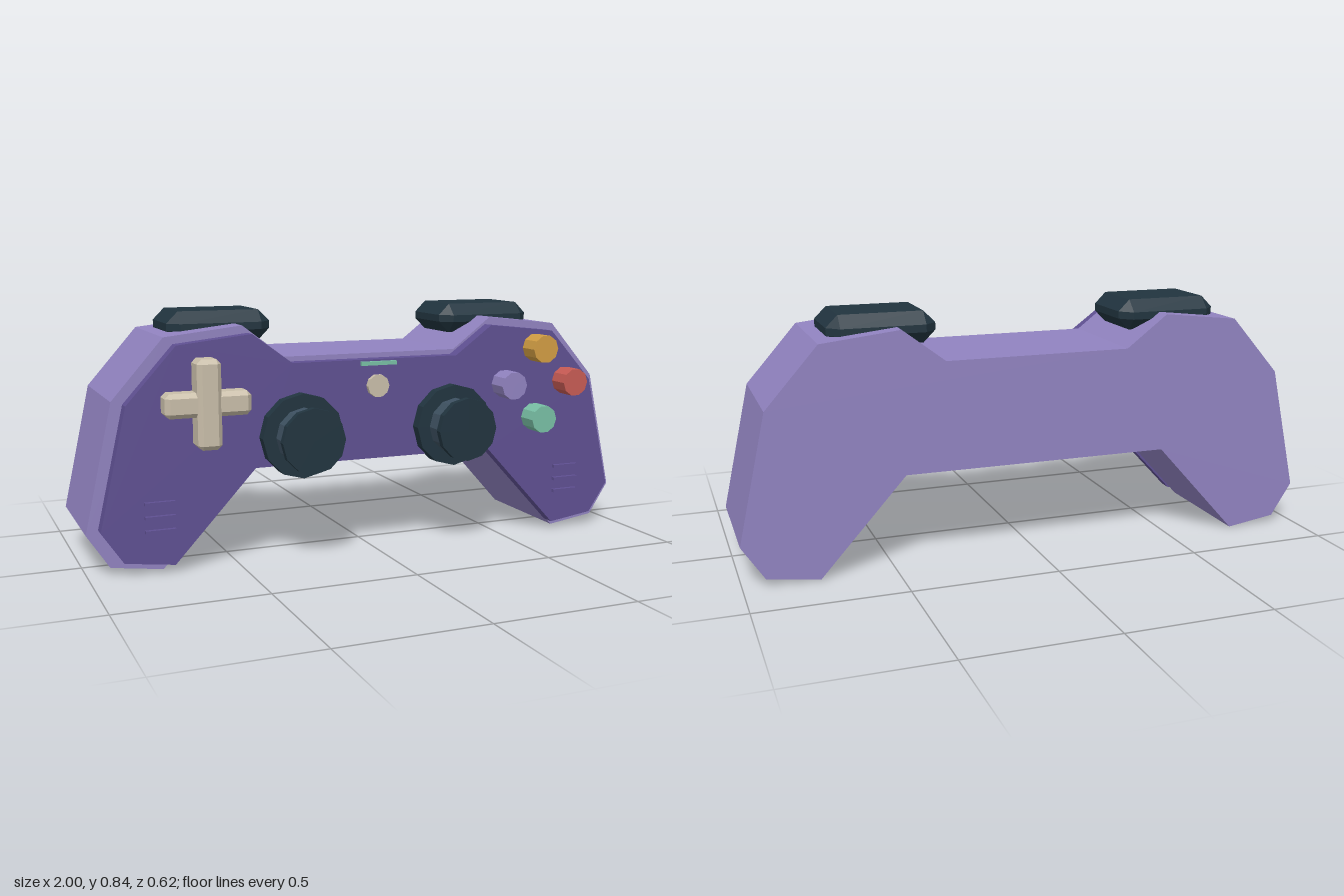
import * as THREE from 'three';
import { ConvexGeometry } from 'three/addons/geometries/ConvexGeometry.js';

const paint = (name, color) => {
  const m = new THREE.MeshStandardMaterial({ color, flatShading: true });
  m.name = name;
  return m;
};

export function createModel() {
  const lilac = paint('lilac', 0x9183c0);
  const violet = paint('violet', 0x5f5092);
  const charcoal = paint('charcoal', 0x21343f);
  const slate = paint('slate', 0x3d5060);
  const beige = paint('beige', 0xc9bea9);
  const amber = paint('amber', 0xd19d43);
  const red = paint('red', 0xc75b54);
  const mint = paint('mint', 0x78bfa5);

  const model = new THREE.Group();
  model.name = 'gamepad';

  const add = (name, geometry, material, x = 0, y = 0, z = 0, parent = model) => {
    const mesh = new THREE.Mesh(geometry, material);
    mesh.name = name;
    mesh.position.set(x, y, z);
    parent.add(mesh);
    return mesh;
  };

  // Mirrored outline, extruded from z0 to z1
  const slab = (half, z0, z1) => {
    const all = [...half, ...half.slice().reverse().map(([x, y]) => [-x, y])];
    const shape = new THREE.Shape(all.map(([x, y]) => new THREE.Vector2(x, y)));
    return new THREE.ExtrudeGeometry(shape, { depth: z1 - z0, bevelEnabled: false }).translate(0, 0, z0);
  };

  // Box with every edge cut at an angle
  const chamferBox = (w, h, d, c) => {
    const points = [];
    for (const sx of [-1, 1]) for (const sy of [-1, 1]) for (const sz of [-1, 1]) {
      for (let axis = 0; axis < 3; axis++) {
        const half = [w / 2 - c, h / 2 - c, d / 2 - c];
        half[axis] += c;
        points.push(new THREE.Vector3(sx * half[0], sy * half[1], sz * half[2]));
      }
    }
    return new ConvexGeometry(points);
  };

  // Disc facing the front, from z0 to z1
  const disc = (r, z0, z1, sides) =>
    new THREE.CylinderGeometry(r, r, z1 - z0, sides, 1, false, Math.PI / 2)
      .rotateX(Math.PI / 2).translate(0, 0, (z0 + z1) / 2);

  // Shell and inset front plate
  add('shell', slab([
    [0.46, 0.322], [0.75, 0], [0.925, 0.025], [1, 0.14], [0.905, 0.57],
    [0.73, 0.77], [0.465, 0.8], [0.32, 0.69],
  ], -0.309, 0.118), lilac);
  add('frontPlate', slab([
    [0.44, 0.327], [0.72, 0.025], [0.888, 0.048], [0.96, 0.155], [0.868, 0.56],
    [0.70, 0.747], [0.446, 0.775], [0.307, 0.673],
  ], 0.118, 0.167), violet);

  for (const side of [-1, 1]) {
    const label = side > 0 ? 'left' : 'right';

    // Shoulder buttons
    add(label + 'ShoulderButton', chamferBox(0.36, 0.105, 0.28, 0.04), charcoal, side * 0.508, 0.79, -0.113);

    // Thumb sticks
    const stick = new THREE.Group();
    stick.name = label + 'ThumbStick';
    stick.position.set(side * 0.283, 0.43, 0);
    model.add(stick);
    add('stickBase', disc(0.144, 0.155, 0.207, 12), charcoal, 0, 0, 0, stick);
    add('stickStem', disc(0.098, 0.2, 0.286, 12), slate, 0, 0, 0, stick);
    add('stickCap', disc(0.11, 0.285, 0.31, 12), charcoal, 0, 0, 0, stick);

    // Grip ridges
    for (const y of [0.146, 0.192, 0.239]) {
      add(label + 'GripRidge', new THREE.BoxGeometry(0.1, 0.011, 0.022), violet, side * 0.768, y, 0.171);
    }
  }

  // Direction pad
  add('padVertical', chamferBox(0.08, 0.293, 0.095, 0.015), beige, -0.613, 0.56, 0.205);
  add('padHorizontal', chamferBox(0.285, 0.08, 0.085, 0.015), beige, -0.613, 0.56, 0.198);

  // Face buttons
  const buttons = [
    ['topButton', amber, 0.622, 0.69], ['outerButton', red, 0.75, 0.564],
    ['bottomButton', mint, 0.622, 0.436], ['innerButton', lilac, 0.496, 0.564],
  ];
  for (const [name, material, x, y] of buttons) add(name, disc(0.05, 0.177, 0.256, 10), material, x, y);

  // Centre button and status light
  add('centreButton', disc(0.04, 0.16, 0.184, 10), beige, 0, 0.582);
  add('statusLight', new THREE.BoxGeometry(0.13, 0.013, 0.016), mint, 0, 0.661, 0.182);

  return model;
}
